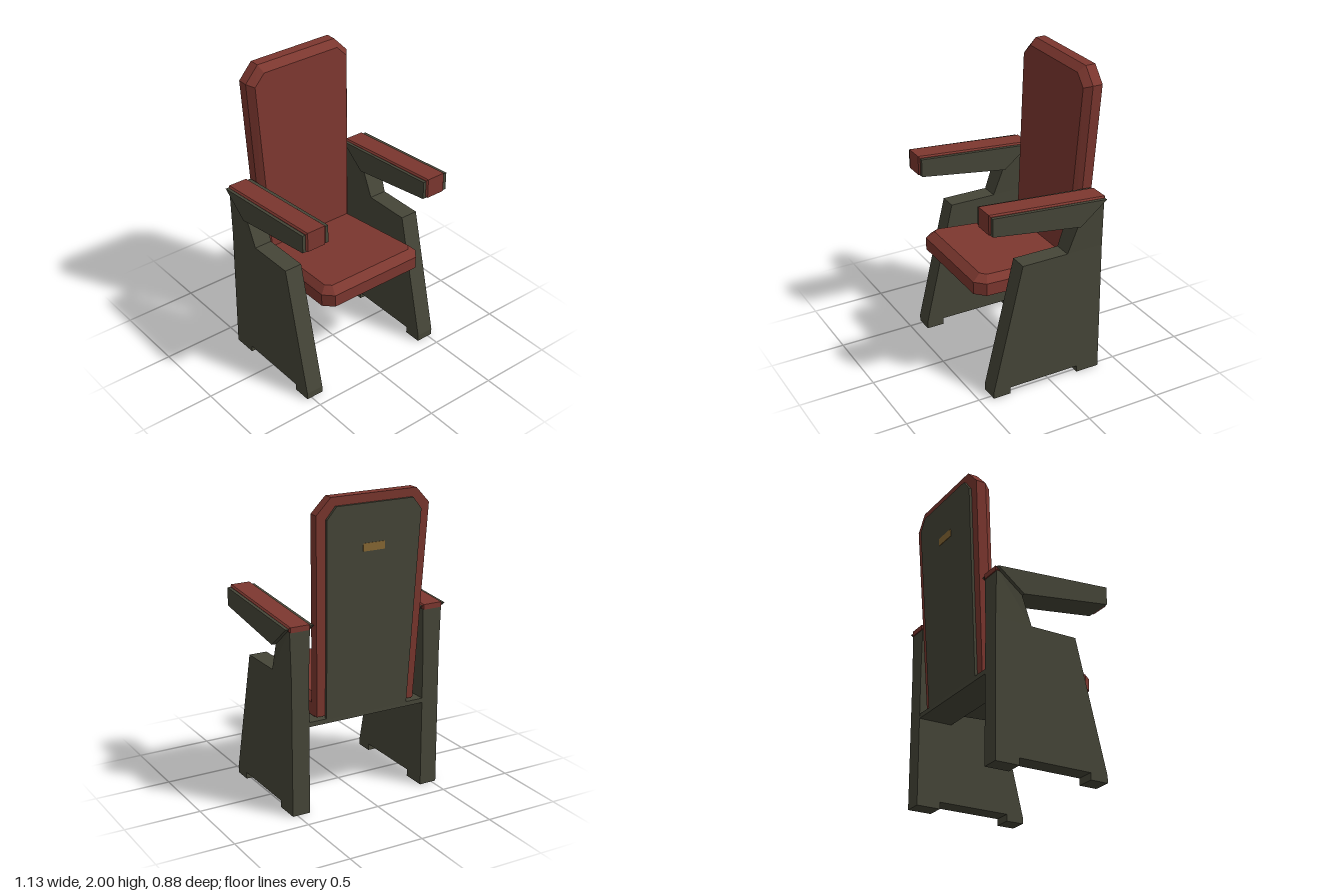
import * as THREE from 'three';
import { ConvexGeometry } from 'three/addons/geometries/ConvexGeometry.js';

export function createModel() {
  const chair = new THREE.Group();
  chair.name = 'armchair';
  const mat = (name, color) => {
    const m = new THREE.MeshStandardMaterial({ color });
    m.name = name;
    return m;
  };
  const red = mat('red upholstery', 0x7c372f);
  const frame = mat('dark olive frame', 0x464638);
  const brass = mat('brass', 0x8a6a35);

  const add = (name, geometry, material) => {
    const mesh = new THREE.Mesh(geometry, material);
    mesh.name = name;
    chair.add(mesh);
    return mesh;
  };

  // Convex solid from mirrored half outlines: each layer is [[x, v], ...] at a height w
  const layered = (layers, place) => {
    const pts = [];
    for (const [w, half] of layers)
      for (const [x, v] of half)
        for (const s of [-1, 1]) pts.push(place(s * x, v, w));
    return new ConvexGeometry(pts);
  };

  // Side profile given as [z, y], extruded across x0..x1
  const sideExtrude = (profile, x0, x1, bevel = 0) => {
    const shape = new THREE.Shape(profile.map(([z, y]) => new THREE.Vector2(z, y)));
    const g = new THREE.ExtrudeGeometry(shape, {
      depth: x1 - x0 - 2 * bevel, bevelEnabled: bevel > 0, bevelSize: bevel,
      bevelThickness: bevel, bevelOffset: -bevel, bevelSegments: 1,
    });
    return g.rotateY(-Math.PI / 2).translate(x1 - bevel, 0, 0);
  };

  // Seat, tilted down towards the back
  const onSeat = (x, z, w) => new THREE.Vector3(x, w + 0.075 * z, z);
  const seatOuter = [[0.33, 0.44], [0.385, 0.375], [0.345, -0.3]];
  const seatInner = [[0.31, 0.385], [0.342, 0.35], [0.308, -0.3]];
  add('seatCushion', layered([[0.634, seatOuter], [0.717, seatOuter], [0.761, seatInner]], onSeat), red);
  const seatBase = [[0.28, 0.39], [0.33, 0.33], [0.3, -0.3]];
  add('seatBoard', layered([[0.612, seatBase], [0.636, seatBase]], onSeat), frame);

  // Backrest, leaning backwards
  const onBack = (x, y, w) => new THREE.Vector3(x, y, w - 0.305 - 0.06 * y);
  const backOuter = [[0.295, 2.0], [0.39, 1.9], [0.348, 0.62]];
  const backInner = [[0.28, 1.96], [0.354, 1.885], [0.308, 0.65]];
  add('backCushion', layered([[0, backOuter], [0.067, backOuter], [0.113, backInner]], onBack), red);
  const backPanel = [[0.265, 1.945], [0.326, 1.87], [0.29, 0.59]];
  add('backBoard', layered([[-0.018, backPanel], [0.002, backPanel]], onBack), frame);

  // Plain badge plate on the back board
  const plate = [[0.075, 1.7], [0.075, 1.65]];
  add('backPlate', layered([[-0.022, plate], [-0.017, plate]], onBack), brass);

  // Cross shelf joining the two sides
  const shelf = new THREE.BoxGeometry(0.84, 0.03, 0.23);
  add('crossShelf', shelf, frame).position.set(0, 0.59, -0.244);

  // Side panels with feet, arms and arm pads
  const panel = [
    [0.41, 0], [0.41, 0.045], [0.205, 0.895], [-0.11, 0.895], [-0.18, 1.08], [-0.36, 1.222],
    [-0.36, 0.895], [-0.36, 0], [-0.2, 0], [-0.2, 0.045], [0.29, 0.045], [0.29, 0],
  ];
  const arm = [[0.43, 1.168], [0.43, 1.288], [-0.362, 1.224], [-0.18, 1.08]];
  const pad = [[0.44, 1.17], [0.44, 1.302], [-0.366, 1.234], [-0.366, 1.2]];
  for (const [side, shift] of [['left', 0], ['right', -0.944]]) {
    const panelGeo = sideExtrude(panel, 0.412, 0.532);
    // Flare the post slightly where it meets the arm
    const p = panelGeo.attributes.position;
    for (let i = 0; i < p.count; i++)
      if (p.getY(i) > 1) p.setX(i, 0.472 + (p.getX(i) - 0.472) * 1.15);
    panelGeo.computeVertexNormals();
    add(side + 'SidePanel', panelGeo, frame).position.x = shift;
    add(side + 'Arm', sideExtrude(arm, 0.378, 0.568), frame).position.x = shift;
    add(side + 'ArmPad', sideExtrude(pad, 0.398, 0.546, 0.01), red).position.x = shift;
  }
  return chair;
}
